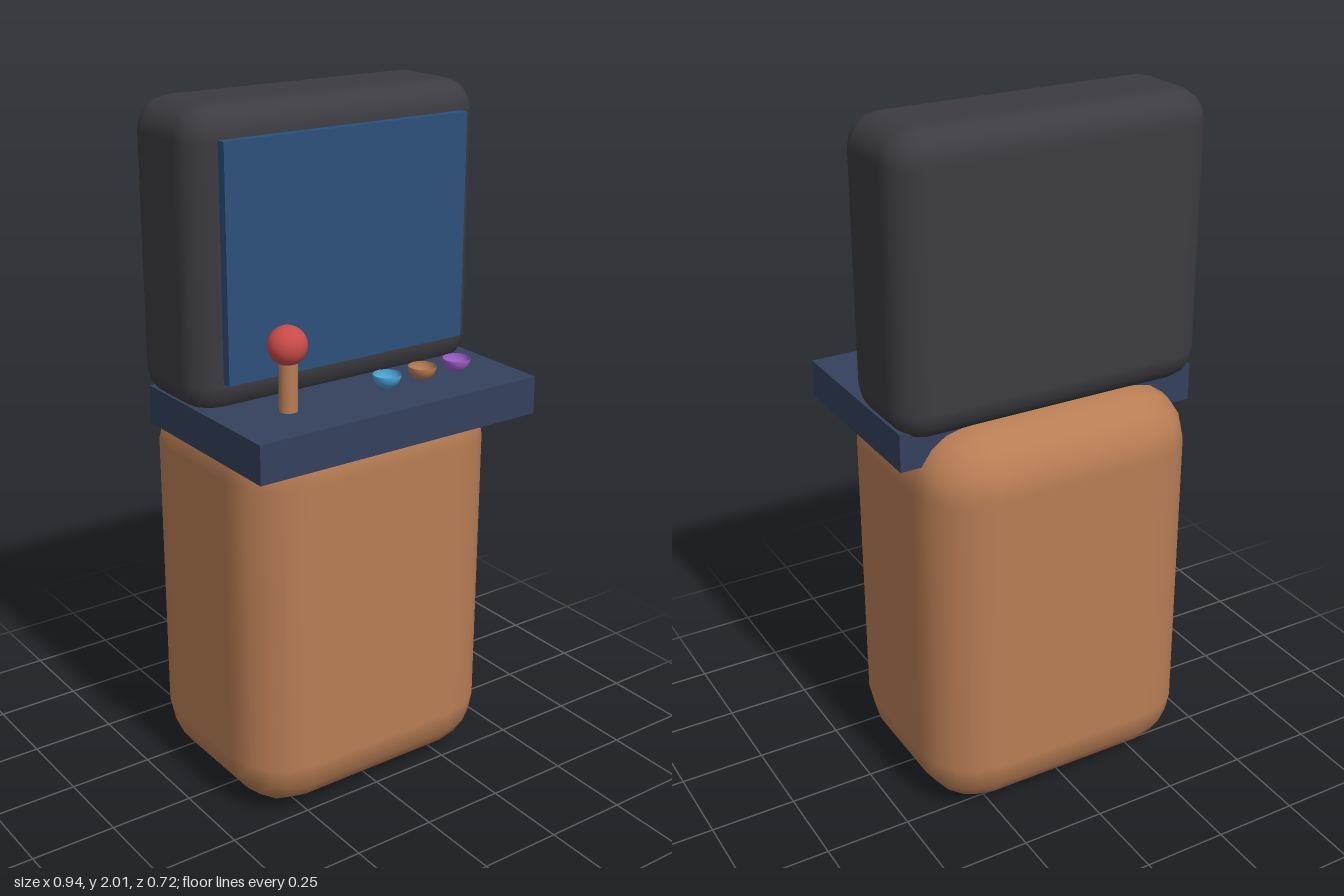
import * as THREE from 'three';
import { RoundedBoxGeometry } from 'three/addons/geometries/RoundedBoxGeometry.js';

const paint = (name, color) => {
  const m = new THREE.MeshStandardMaterial({ color });
  m.name = name;
  return m;
};

export function createModel() {
  const model = new THREE.Group();
  model.name = 'arcadeMachine';

  const wood = paint('warmWood', 0xb87d54);
  const charcoal = paint('charcoal', 0x3c3b41);
  const slate = paint('slateBlue', 0x34415d);
  const glass = paint('screenBlue', 0x2b507a);
  const red = paint('red', 0xc94b49);
  const cyan = paint('skyBlue', 0x4aa8dc);
  const purple = paint('purple', 0xa05fcb);

  const add = (name, geometry, material, x, y, z) => {
    const mesh = new THREE.Mesh(geometry, material);
    mesh.name = name;
    mesh.position.set(x, y, z);
    model.add(mesh);
    return mesh;
  };

  // Boxes given by half width, y range and z range
  const box = (name, material, hx, y0, y1, z0, z1) =>
    add(name, new THREE.BoxGeometry(2 * hx, y1 - y0, z1 - z0), material, 0, (y0 + y1) / 2, (z0 + z1) / 2);

  // The coarse rounding pulls each face in slightly, so the size is padded to suit
  const softBox = (name, material, hx, y0, y1, z0, z1, r) => {
    const pad = 2 * r * 0.038;
    const geometry = new RoundedBoxGeometry(2 * hx + pad, y1 - y0 + pad, z1 - z0 + pad, 2, r);
    return add(name, geometry, material, 0, (y0 + y1) / 2, (z0 + z1) / 2);
  };

  // Body, control shelf and display
  softBox('cabinet', wood, 0.415, 0, 1.19, -0.355, 0.285, 0.175);
  box('controlShelf', slate, 0.46, 1.1, 1.21, -0.205, 0.355);
  softBox('monitorHousing', charcoal, 0.469, 1.18, 2, -0.252, 0.077, 0.09);
  box('screen', glass, 0.392, 1.28, 1.92, 0.05, 0.106);

  // Joystick
  add('joystickShaft', new THREE.CylinderGeometry(0.026, 0.026, 0.17, 16), wood, -0.26, 1.285, 0.185);
  add('joystickBall', new THREE.SphereGeometry(0.054, 24, 16), red, -0.26, 1.39, 0.183);

  // Cup-shaped buttons, open at the top
  const cup = new THREE.SphereGeometry(0.04, 24, 8, 0, Math.PI * 2, Math.PI / 2, Math.PI / 2);
  [cyan, wood, purple].forEach((material, i) => {
    const cupMaterial = material;
    cupMaterial.side = THREE.DoubleSide;
    add('button' + (i + 1), cup, cupMaterial, 0.06 + i * 0.123, 1.252, 0.194);
  });

  return model;
}
